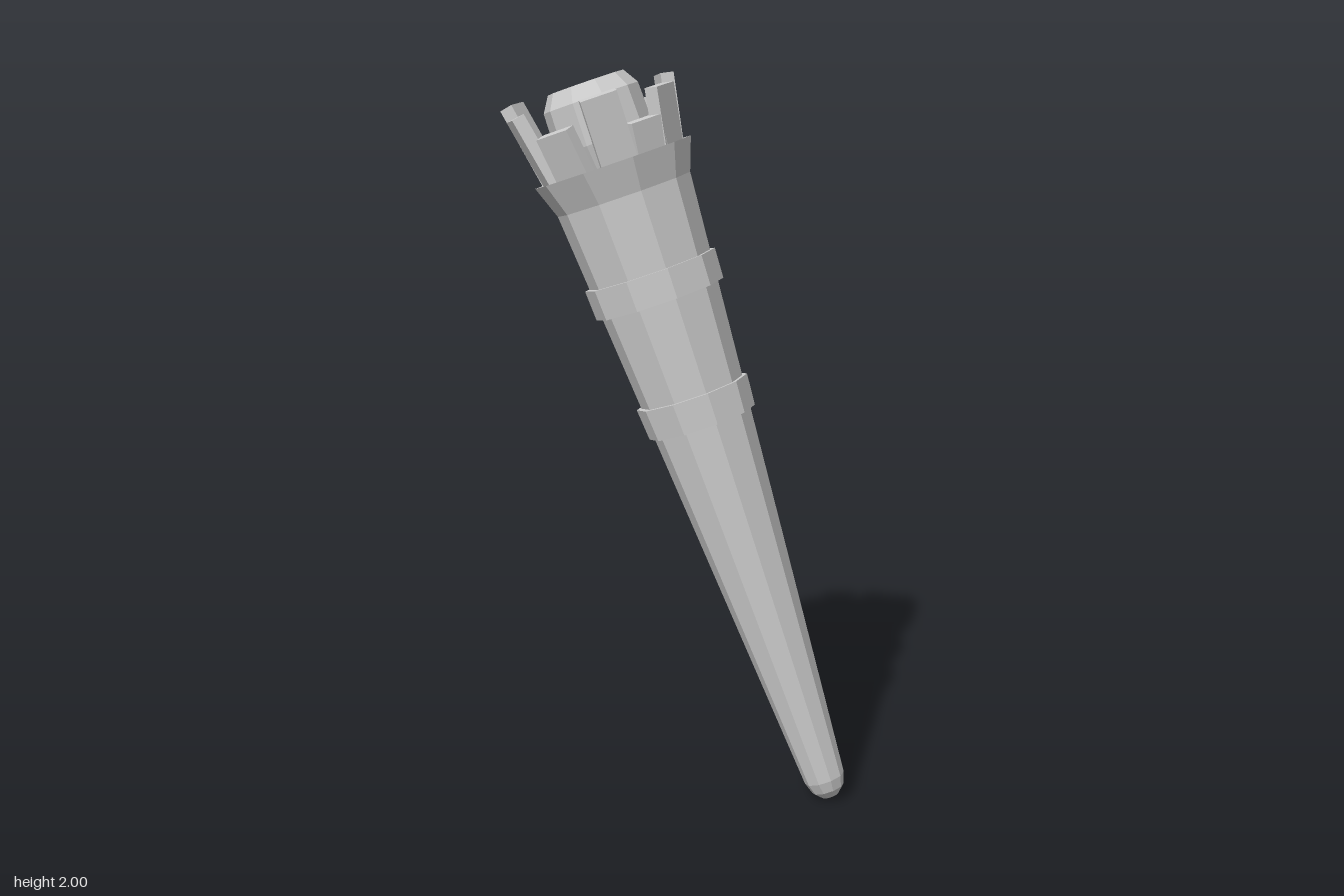
import * as THREE from 'three';

const SIDES = 10;
const material = new THREE.MeshStandardMaterial({ color: 0xcccccc, flatShading: true });

// Ten-sided turned part from [radius, height] pairs, listed bottom to top
function turned(name, profile) {
  const points = profile.map(([r, h]) => new THREE.Vector2(r, h));
  const mesh = new THREE.Mesh(new THREE.LatheGeometry(points, SIDES), material);
  mesh.name = name;
  return mesh;
}

// Raised collar around the tapering shaft
function band(name, h0, h1, r0, r1) {
  return turned(name, [[r0 - 0.03, h0], [r0, h0], [r1, h1], [r1 - 0.03, h1]]);
}

// Flat prong that leans outward from the rim, at an angle from +x towards +z
function prong(degrees, top, width) {
  const base = 1.77, foot = 0.168, lean = 0.19;
  const length = (top - base) / Math.cos(lean);
  const geometry = new THREE.BoxGeometry(0.036, length, width);
  geometry.translate(0, length / 2, 0);
  geometry.rotateZ(-lean);
  geometry.translate(foot, base, 0);
  geometry.rotateY(-THREE.MathUtils.degToRad(degrees));
  const mesh = new THREE.Mesh(geometry, material);
  mesh.name = 'prong';
  return mesh;
}

export function createModel() {
  const model = new THREE.Group();
  model.name = 'torch';

  // Everything is built upright along y, then leaned over together
  const torch = new THREE.Group();
  torch.name = 'leaningTorch';
  torch.position.set(0.431, 0.06, 0);
  torch.rotation.z = THREE.MathUtils.degToRad(20);
  model.add(torch);

  // Handle with rounded foot
  torch.add(turned('shaft', [
    [0, -0.055], [0.025, -0.053], [0.046, -0.032], [0.057, 0], [0.189, 1.715],
  ]));

  // Collars
  torch.add(band('lowerBand', 1.06, 1.148, 0.152, 0.159));
  torch.add(band('upperBand', 1.416, 1.5, 0.182, 0.186));

  // Flared rim
  torch.add(turned('rim', [[0.189, 1.715], [0.222, 1.806], [0.19, 1.8], [0, 1.79]]));

  // Chamfered core inside the prongs
  torch.add(turned('core', [
    [0.115, 1.78], [0.137, 1.87], [0.134, 1.987], [0.107, 2.03], [0, 2.03],
  ]));

  // Uneven crown of prongs: angle, top height, width
  const prongs = new THREE.Group();
  prongs.name = 'crown';
  for (const [angle, top, width] of [
    [5, 1.96, 0.11], [33, 1.89, 0.1], [63, 1.985, 0.1], [105, 1.93, 0.105], [147, 2.0, 0.1],
    [175, 2.035, 0.105], [216, 1.93, 0.1], [247, 1.955, 0.1], [290, 1.94, 0.11], [329, 1.985, 0.105],
  ]) prongs.add(prong(angle, top, width));
  torch.add(prongs);

  return model;
}
